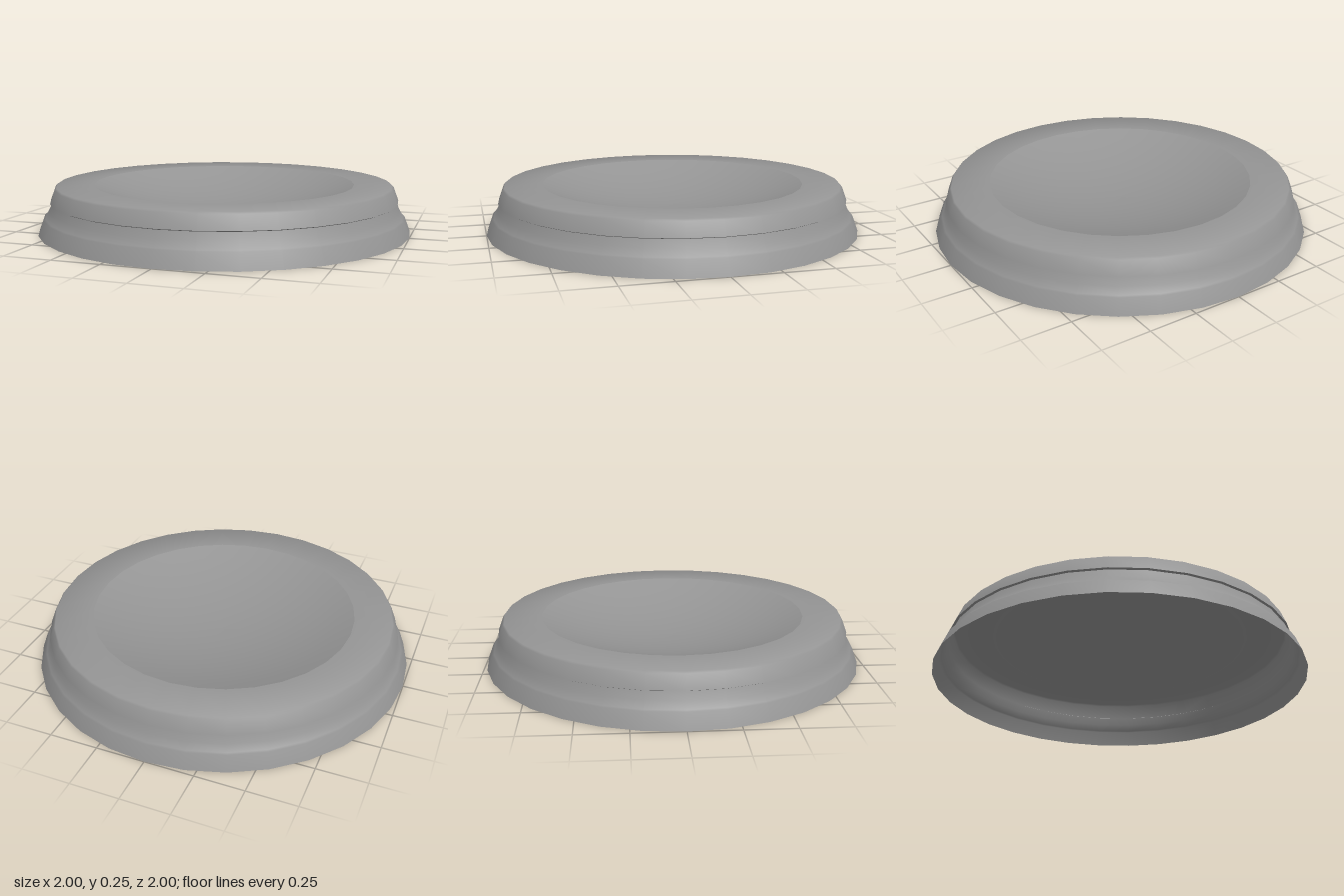
import * as THREE from 'three';
import { toCreasedNormals } from 'three/addons/utils/BufferGeometryUtils.js';

const SIDES = 32;
const TOP = 0.245;
const BOWL_RADIUS = 0.7;
const BOWL_DEPTH = 0.13;

export function createModel() {
  const model = new THREE.Group();
  model.name = 'lid';
  const material = new THREE.MeshStandardMaterial({ color: 0x959595, side: THREE.DoubleSide });

  const addLathe = (name, profile, crease) => {
    const points = profile.map(([r, y]) => new THREE.Vector2(r, y));
    let geometry = new THREE.LatheGeometry(points, SIDES);
    if (crease) geometry = toCreasedNormals(geometry, crease);
    const mesh = new THREE.Mesh(geometry, material);
    mesh.name = name;
    model.add(mesh);
  };

  // Flared skirt, open underneath, with a soft step
  addLathe('skirt', [[1, 0], [0.97, 0.08], [0.96, 0.085], [0.94, 0.12], [0.925, 0.16]]);

  // Upper collar with a small lip over the skirt, and the flat rim on top
  addLathe('rim', [[0.925, 0.16], [0.935, 0.165], [0.908, 0.236], [0.9, TOP], [BOWL_RADIUS, TOP]], 0.9);

  // Shallow dished centre, a spherical cap hanging from the rim
  const sphere = (BOWL_RADIUS ** 2 + BOWL_DEPTH ** 2) / (2 * BOWL_DEPTH);
  const edgeAngle = Math.asin(BOWL_RADIUS / sphere);
  const bowl = [];
  for (let i = 0; i <= 8; i++) {
    const a = edgeAngle * (1 - i / 8);
    bowl.push([sphere * Math.sin(a), TOP - BOWL_DEPTH + sphere * (1 - Math.cos(a))]);
  }
  addLathe('dishedCentre', bowl);

  return model;
}
